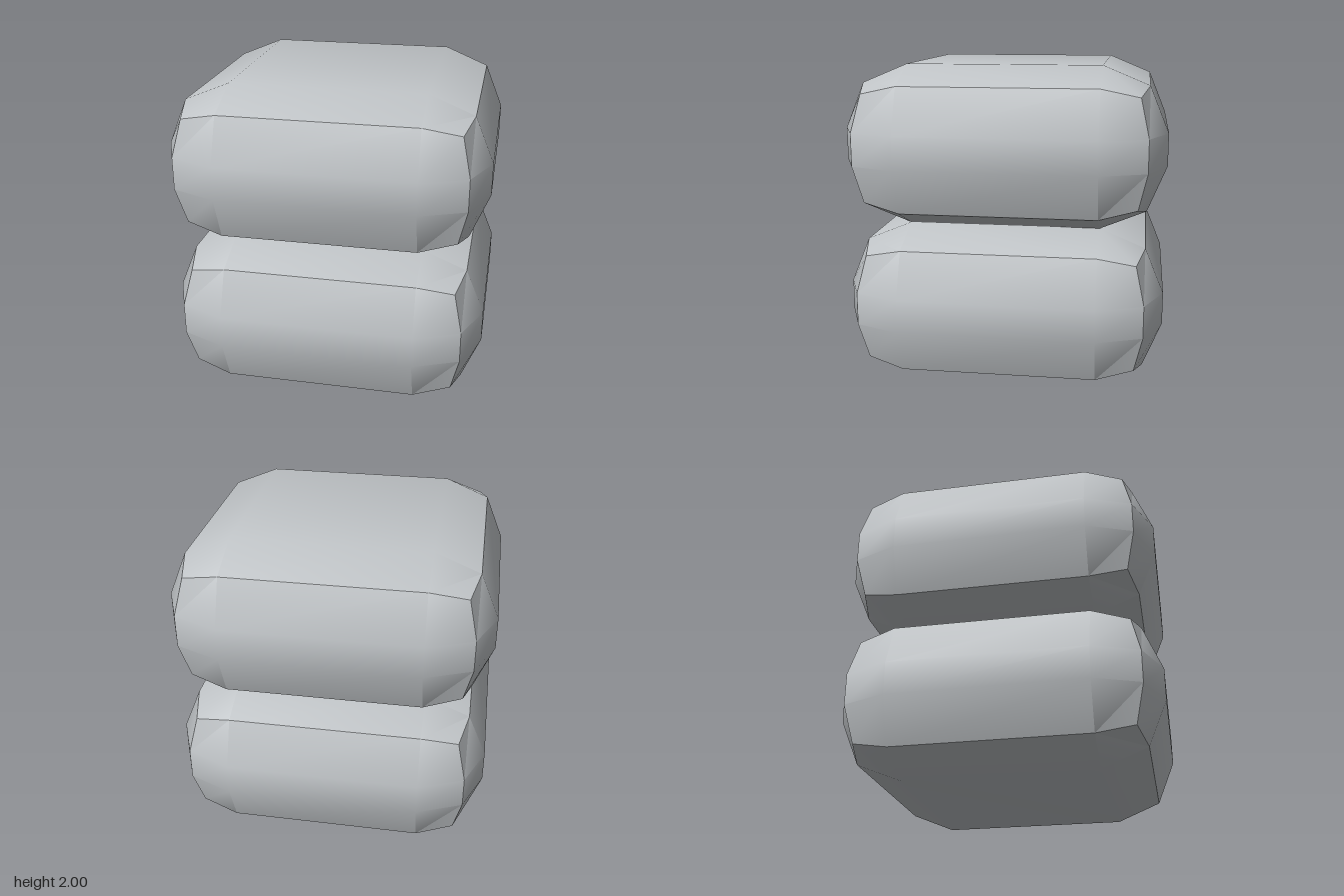
import * as THREE from 'three';
import { RoundedBoxGeometry } from 'three/addons/geometries/RoundedBoxGeometry.js';
import { toCreasedNormals } from 'three/addons/utils/BufferGeometryUtils.js';

export function createModel() {
  const model = new THREE.Group();
  model.name = 'stackedBlocks';

  const grey = new THREE.MeshStandardMaterial({ color: 0xc0c4c7 });
  grey.name = 'light grey';

  // One coarse rounded block: soft towards each face, creased along the 45 degree edges
  const block = toCreasedNormals(new RoundedBoxGeometry(2, 1, 2, 1, 0.4), 0.75);

  // Two equal blocks, one on top of the other
  ['lowerBlock', 'upperBlock'].forEach((name, i) => {
    const mesh = new THREE.Mesh(block, grey);
    mesh.name = name;
    mesh.position.y = 0.5 + i;
    model.add(mesh);
  });

  return model;
}
